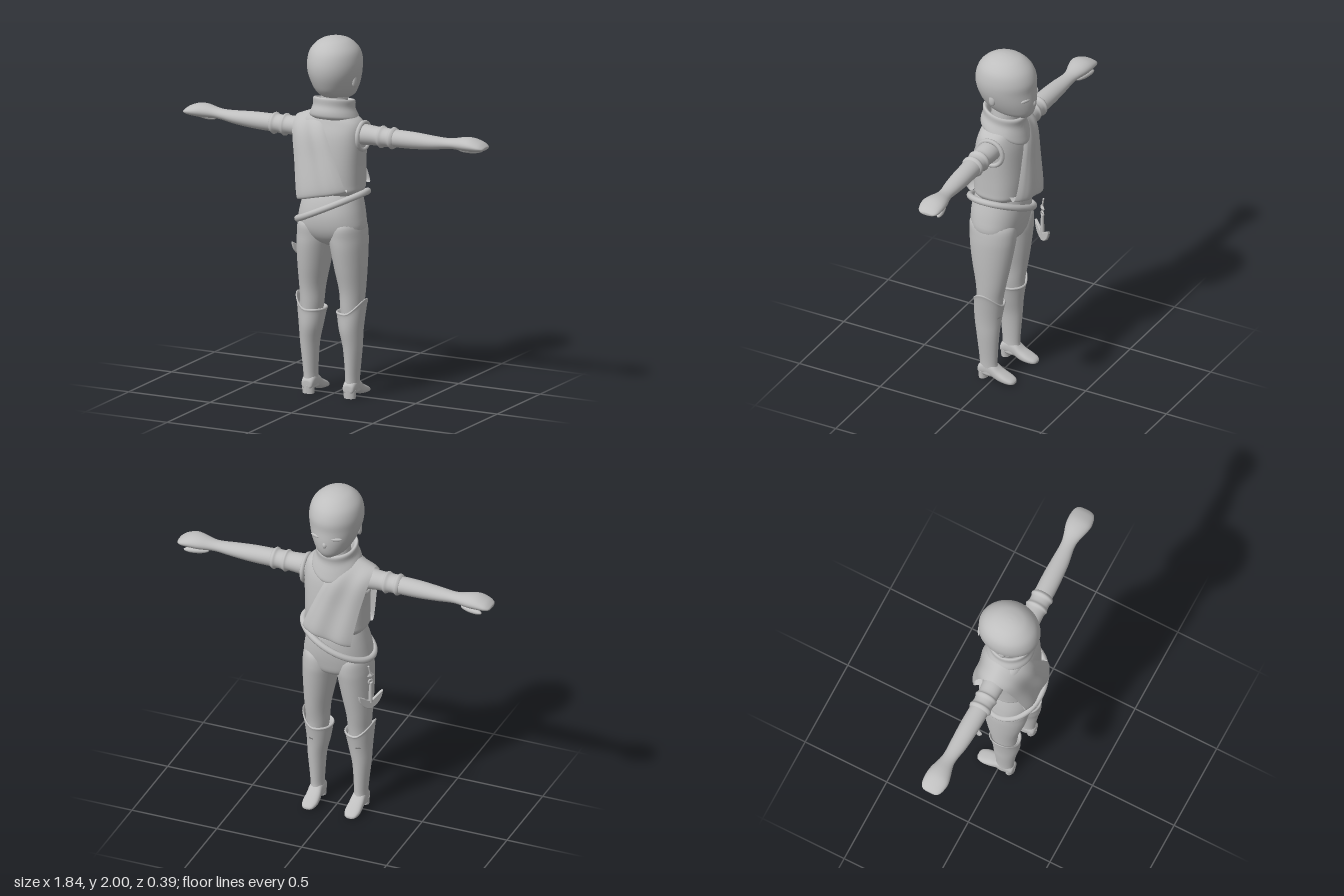
import * as THREE from 'three';

const skin = new THREE.MeshStandardMaterial({ color: 0xbfbfbf, side: THREE.DoubleSide });
skin.name = 'plain grey';

// Catmull-Rom resampling of rows of numbers
function smooth(rows, sub) {
  const out = [], at = i => rows[Math.max(0, Math.min(rows.length - 1, i))];
  for (let i = 0; i < rows.length - 1; i++) {
    for (let k = 0; k < sub; k++) {
      const t = k / sub, [a, b, c, d] = [at(i - 1), at(i), at(i + 1), at(i + 2)];
      out.push(b.map((_, j) => 0.5 * (2 * b[j] + (c[j] - a[j]) * t
        + (2 * a[j] - 5 * b[j] + 4 * c[j] - d[j]) * t * t
        + (3 * b[j] - a[j] - 3 * c[j] + d[j]) * t * t * t)));
    }
  }
  out.push(rows[rows.length - 1]);
  return out;
}

function build(pos, idx) {
  const g = new THREE.BufferGeometry();
  g.setAttribute('position', new THREE.Float32BufferAttribute(pos, 3));
  g.setIndex(idx);
  g.computeVertexNormals();
  return g;
}

// Oval sections along an axis; row = [t, aMin, aMax, bMin, bMax]
// axis y: a=x b=z, axis x: a=z b=y, axis z: a=y b=x
function loft(rows, axis, { power = 1, warp, sub = 4, seg = 28 } = {}) {
  const place = { y: (t, a, b) => [a, t, b], x: (t, a, b) => [t, b, a], z: (t, a, b) => [b, a, t] }[axis];
  const pos = [], idx = [], rs = smooth(rows, sub);
  const add = (t, a, b) => {
    const p = place(t, a, b);
    pos.push(...(warp ? warp(...p) : p));
  };
  for (const [t, a0, a1, b0, b1] of rs) {
    for (let j = 0; j < seg; j++) {
      const w = j / seg * Math.PI * 2, c = Math.cos(w), s = Math.sin(w);
      add(t, (a0 + a1) / 2 + (a1 - a0) / 2 * Math.sign(c) * Math.abs(c) ** power,
        (b0 + b1) / 2 + (b1 - b0) / 2 * Math.sign(s) * Math.abs(s) ** power);
    }
  }
  for (let i = 0; i < rs.length - 1; i++) {
    for (let j = 0; j < seg; j++) {
      const a = i * seg + j, b = i * seg + (j + 1) % seg;
      idx.push(a, a + seg, b, b, a + seg, b + seg);
    }
  }
  // end caps
  [rs[0], rs[rs.length - 1]].forEach(([t, a0, a1, b0, b1], e) => {
    const centre = pos.length / 3, base = e * (rs.length - 1) * seg;
    add(t, (a0 + a1) / 2, (b0 + b1) / 2);
    for (let j = 0; j < seg; j++) {
      const a = base + j, b = base + (j + 1) % seg;
      e ? idx.push(centre, b, a) : idx.push(centre, a, b);
    }
  });
  return build(pos, idx);
}

function mirrorX(geo) {
  const g = geo.clone().scale(-1, 1, 1), i = g.index.array;
  for (let k = 0; k < i.length; k += 3) [i[k + 1], i[k + 2]] = [i[k + 2], i[k + 1]];
  g.computeVertexNormals();
  return g;
}

export function createModel() {
  const model = new THREE.Group();
  const add = (name, geo, parent = model) => {
    const m = new THREE.Mesh(geo, skin);
    m.name = name;
    parent.add(m);
    return m;
  };
  const pair = (name, geo) => { add(name + 'Left', geo); add(name + 'Right', mirrorX(geo)); };
  const sym = rows => rows.map(([t, x, z0, z1]) => [t, -x, x, z0, z1]);

  // Head, facing -z
  add('head', loft(sym([
    [1.64, 0.035, -0.145, -0.03], [1.665, 0.08, -0.168, 0.06], [1.70, 0.105, -0.18, 0.115],
    [1.75, 0.127, -0.184, 0.145], [1.81, 0.143, -0.18, 0.164], [1.87, 0.146, -0.18, 0.164],
    [1.93, 0.13, -0.155, 0.142], [1.975, 0.088, -0.105, 0.095], [1.995, 0.04, -0.05, 0.045],
    [2, 0.004, -0.005, 0.005]]), 'y', { seg: 40 }));
  add('neck', new THREE.CylinderGeometry(0.07, 0.085, 0.2, 24).translate(0, 1.6, 0));
  add('nose', new THREE.SphereGeometry(1, 16, 10).scale(0.014, 0.02, 0.014).translate(0, 1.735, -0.176));
  pair('eye', new THREE.SphereGeometry(1, 16, 8).scale(0.033, 0.009, 0.008).rotateY(-0.4).translate(0.062, 1.775, -0.162));
  pair('ear', new THREE.SphereGeometry(1, 16, 10).scale(0.012, 0.035, 0.02).translate(0.128, 1.765, 0.01));

  // Cowl collar, dipping to a point in front
  add('collar', loft(sym([
    [1.535, 0.12, -0.125, 0.12], [1.55, 0.137, -0.14, 0.132], [1.575, 0.13, -0.132, 0.132],
    [1.61, 0.115, -0.118, 0.122], [1.645, 0.114, -0.122, 0.122], [1.655, 0.105, -0.112, 0.112],
    [1.64, 0.09, -0.095, 0.095], [1.59, 0.08, -0.08, 0.08]]), 'y', {
    seg: 36,
    warp: (x, y, z) => [x, y + 0.2 * z - (z < -0.07 ? (-0.07 - z) * Math.max(0, 1.62 - y) * 9 : 0), z]
  }));

  // Vest and hips
  add('vest', loft(sym([
    [1.13, 0.145, -0.11, 0.13], [1.16, 0.172, -0.132, 0.15], [1.2, 0.174, -0.138, 0.152],
    [1.3, 0.176, -0.138, 0.15], [1.45, 0.182, -0.122, 0.138], [1.53, 0.172, -0.095, 0.115],
    [1.57, 0.12, -0.075, 0.1], [1.59, 0.07, -0.06, 0.08]]), 'y', { power: 0.8, seg: 40 }));
  add('hips', loft(sym([
    [0.845, 0.03, -0.05, 0.07], [0.88, 0.14, -0.1, 0.13], [0.94, 0.192, -0.118, 0.165],
    [1.02, 0.186, -0.13, 0.175], [1.1, 0.168, -0.13, 0.16], [1.16, 0.15, -0.118, 0.135]]), 'y', { power: 0.9, seg: 40 }));

  // Tilted rope belt
  const loop = [];
  for (let i = 0; i < 24; i++) {
    const a = i / 24 * Math.PI * 2, x = 0.198 * Math.cos(a);
    loop.push(new THREE.Vector3(x, 1.06 + 0.46 * x, 0.02 + 0.166 * Math.sin(a)));
  }
  add('belt', new THREE.TubeGeometry(new THREE.CatmullRomCurve3(loop, true), 72, 0.018, 10, true));

  // Sash over the shoulder: [outerX, outerY, innerX, innerY, z]
  const half = [[-0.12, 1.125, 0.13, 1.185, 0.13], [-0.14, 1.105, 0.148, 1.17, 0.185],
    [-0.15, 1.15, 0.135, 1.21, 0.198], [-0.18, 1.32, 0.072, 1.36, 0.172],
    [-0.212, 1.46, 0.01, 1.49, 0.145], [-0.222, 1.52, -0.04, 1.57, 0.09]];
  const rows = smooth([...half.map(r => [...r.slice(0, 4), -r[4] * 0.94]),
    [-0.22, 1.545, -0.08, 1.6, 0], ...half.slice().reverse()], 5);
  const pos = [], idx = [], n = 16;
  rows.forEach(([ox, oy, ix, iy, z], i) => {
    for (let j = 0; j <= n; j++) {
      const v = j / n, x = ox + (ix - ox) * v;
      const fold = 1 + 0.035 * Math.sin(v * 11);
      const edge = j === n ? 0.93 : 1;
      pos.push(x, oy + (iy - oy) * v, z * Math.sqrt(1 - (x / 0.27) ** 2) * fold * edge);
      if (i && j) {
        const a = (i - 1) * (n + 1) + j - 1, b = a + n + 1;
        idx.push(a, b, a + 1, a + 1, b, b + 1);
      }
    }
  });
  add('sash', build(pos, idx));

  // Armhole trims, rolled sleeves, arms and hands
  pair('armhole', new THREE.TorusGeometry(0.075, 0.013, 8, 28).rotateY(Math.PI / 2).translate(0.176, 1.46, -0.005));
  pair('sleeve', loft([
    [0.12, -0.06, 0.065, 1.41, 1.525], [0.2, -0.06, 0.063, 1.415, 1.528], [0.275, -0.055, 0.06, 1.42, 1.523],
    [0.295, -0.062, 0.066, 1.408, 1.533], [0.315, -0.055, 0.06, 1.418, 1.523], [0.345, -0.055, 0.06, 1.42, 1.522],
    [0.362, -0.062, 0.066, 1.41, 1.532], [0.378, -0.055, 0.058, 1.42, 1.522], [0.38, -0.045, 0.05, 1.43, 1.515]], 'x'));
  pair('arm', loft([
    [0.34, -0.052, 0.056, 1.422, 1.52], [0.48, -0.056, 0.052, 1.425, 1.518], [0.6, -0.054, 0.042, 1.435, 1.51],
    [0.68, -0.052, 0.028, 1.446, 1.506], [0.73, -0.06, 0.028, 1.45, 1.51], [0.79, -0.078, 0.044, 1.448, 1.522],
    [0.84, -0.084, 0.054, 1.45, 1.522], [0.89, -0.08, 0.045, 1.455, 1.505], [0.915, -0.065, 0.028, 1.462, 1.488],
    [0.922, -0.045, 0.01, 1.468, 1.48]], 'x'));
  pair('thumb', new THREE.SphereGeometry(1, 18, 12).scale(0.07, 0.017, 0.02).rotateY(0.25).translate(0.81, 1.445, -0.05));

  // Legs
  pair('leg', loft([
    [0.4, 0.075, 0.18, -0.045, 0.095], [0.5, 0.06, 0.185, -0.05, 0.1], [0.6, 0.052, 0.192, -0.068, 0.108],
    [0.72, 0.028, 0.198, -0.09, 0.132], [0.83, 0.008, 0.2, -0.108, 0.15], [0.9, -0.002, 0.198, -0.116, 0.155],
    [0.97, 0.01, 0.188, -0.11, 0.155], [1.02, 0.04, 0.16, -0.07, 0.11]], 'y'));

  // Boots with raised outer cuffs
  pair('boot', loft([
    [0.03, 0.088, 0.165, -0.04, 0.085], [0.08, 0.09, 0.165, -0.022, 0.082], [0.14, 0.09, 0.168, -0.022, 0.085],
    [0.28, 0.08, 0.182, -0.032, 0.1], [0.38, 0.058, 0.188, -0.042, 0.115], [0.46, 0.042, 0.2, -0.055, 0.115],
    [0.475, 0.036, 0.206, -0.06, 0.118], [0.482, 0.044, 0.198, -0.052, 0.11], [0.46, 0.06, 0.185, -0.045, 0.1]], 'y', {
    warp: (x, y, z) => {
      const lift = Math.max(0, y - 0.36) / 0.12, side = Math.max(0, (x - 0.125) / 0.08);
      return [x + 0.006 * lift * side, y + 0.083 * lift * side ** 1.5, z];
    }
  }));
  pair('foot', loft([
    [-0.132, 0.004, 0.016, 0.11, 0.14], [-0.12, 0, 0.028, 0.093, 0.158], [-0.085, 0, 0.045, 0.082, 0.168],
    [-0.04, 0.004, 0.068, 0.083, 0.167], [0, 0.016, 0.1, 0.088, 0.165], [0.045, 0.022, 0.11, 0.088, 0.165],
    [0.08, 0.025, 0.085, 0.093, 0.16], [0.088, 0.035, 0.07, 0.105, 0.148]], 'z', { power: 0.8 }));
  pair('heel', new THREE.CylinderGeometry(0.037, 0.034, 0.045, 20).scale(1, 1, 0.75).translate(0.127, 0.0225, 0.062));

  // Anchor charm hanging from the belt
  const charm = new THREE.Group();
  charm.name = 'anchorCharm';
  charm.position.set(-0.238, 0, -0.1);
  charm.rotation.y = 0.98;
  model.add(charm);
  const flukes = new THREE.Shape();
  flukes.moveTo(-0.075, 0.805);
  flukes.quadraticCurveTo(-0.066, 0.735, 0, 0.718);
  flukes.quadraticCurveTo(0.066, 0.735, 0.075, 0.805);
  flukes.lineTo(0.04, 0.785);
  flukes.quadraticCurveTo(0.02, 0.765, 0, 0.765);
  flukes.quadraticCurveTo(-0.02, 0.765, -0.04, 0.785);
  flukes.closePath();
  add('flukes', new THREE.ExtrudeGeometry(flukes, { depth: 0.01, bevelSize: 0.003, bevelThickness: 0.003, bevelSegments: 1 }).translate(0, 0, -0.005), charm);
  add('shank', new THREE.CylinderGeometry(0.008, 0.013, 0.12, 10).translate(0, 0.815, 0), charm);
  add('shankRing', new THREE.TorusGeometry(0.013, 0.005, 8, 16).translate(0, 0.883, 0), charm);
  add('diamond', new THREE.OctahedronGeometry(0.025).scale(1, 1, 0.4).translate(0, 0.92, 0), charm);
  add('cord', new THREE.CylinderGeometry(0.005, 0.005, 0.06, 8).rotateZ(-0.25).translate(0.006, 0.955, 0), charm);
  return model;
}
